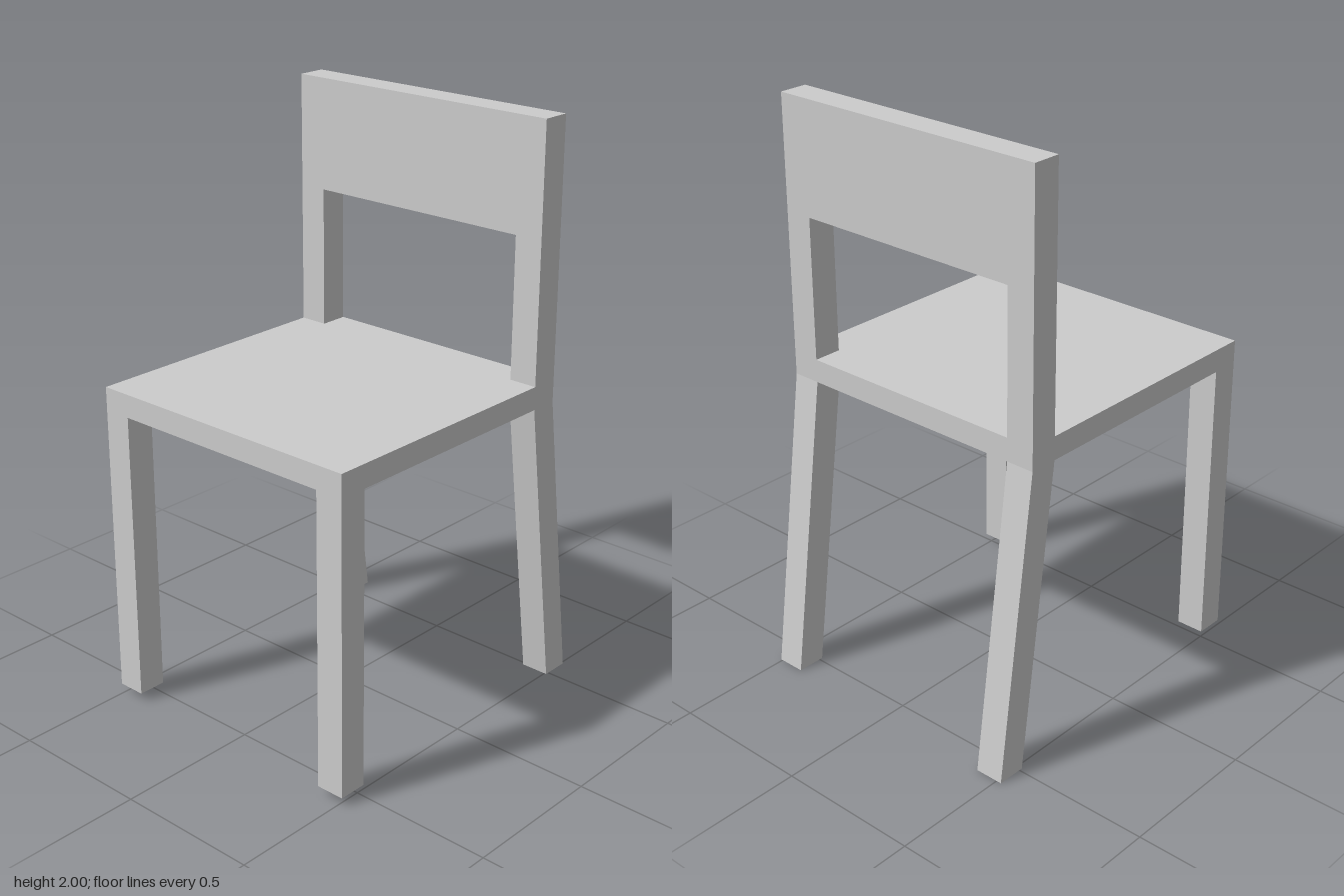
import * as THREE from 'three';

export function createModel() {
  const group = new THREE.Group();
  const material = new THREE.MeshStandardMaterial({ color: 0xcccccc, flatShading: true });

  const LEFT = 0.515, RIGHT = -0.51;        // outer side faces
  const FRONT = 0.588, BACK = -0.438;       // outer front and back faces
  const SEAT_BOTTOM = 1.047, SEAT_TOP = 1.127, TOP = 2;
  const POST = 0.1;                         // leg and post thickness

  function add(name, geometry) {
    const mesh = new THREE.Mesh(geometry, material);
    mesh.name = name;
    group.add(mesh);
    return mesh;
  }

  // Box given by its limits
  function box(x0, x1, y0, y1, z0, z1) {
    return new THREE.BoxGeometry(x1 - x0, y1 - y0, z1 - z0)
      .translate((x0 + x1) / 2, (y0 + y1) / 2, (z0 + z1) / 2);
  }

  // Seat slab
  add('seat', box(RIGHT, LEFT, SEAT_BOTTOM, SEAT_TOP, BACK, FRONT));

  // Backrest: two posts joined by a wide top panel, cut as one arch
  const arch = new THREE.Shape([
    [RIGHT, SEAT_TOP], [RIGHT + POST, SEAT_TOP], [RIGHT + POST, 1.615],
    [LEFT - POST, 1.615], [LEFT - POST, SEAT_TOP], [LEFT, SEAT_TOP],
    [LEFT, TOP], [RIGHT, TOP],
  ].map(([x, y]) => new THREE.Vector2(x, y)));
  add('backrest', new THREE.ExtrudeGeometry(arch, { depth: POST, bevelEnabled: false })
    .translate(0, 0, BACK));

  // Legs: straight in front, slanted backwards at the rear
  for (const [side, x0] of [['Right', RIGHT], ['Left', LEFT - POST]]) {
    add('front' + side + 'Leg', box(x0, x0 + POST, 0.03, SEAT_BOTTOM, FRONT - POST, FRONT));

    const rear = box(x0, x0 + POST, 0, SEAT_BOTTOM, BACK, BACK + POST);
    const p = rear.attributes.position;
    for (let i = 0; i < p.count; i++) {
      const drop = 1 - p.getY(i) / SEAT_BOTTOM;
      p.setX(i, p.getX(i) - 0.008 * drop);
      p.setZ(i, p.getZ(i) - 0.15 * drop);
    }
    rear.computeVertexNormals();
    add('rear' + side + 'Leg', rear);
  }

  return group;
}
